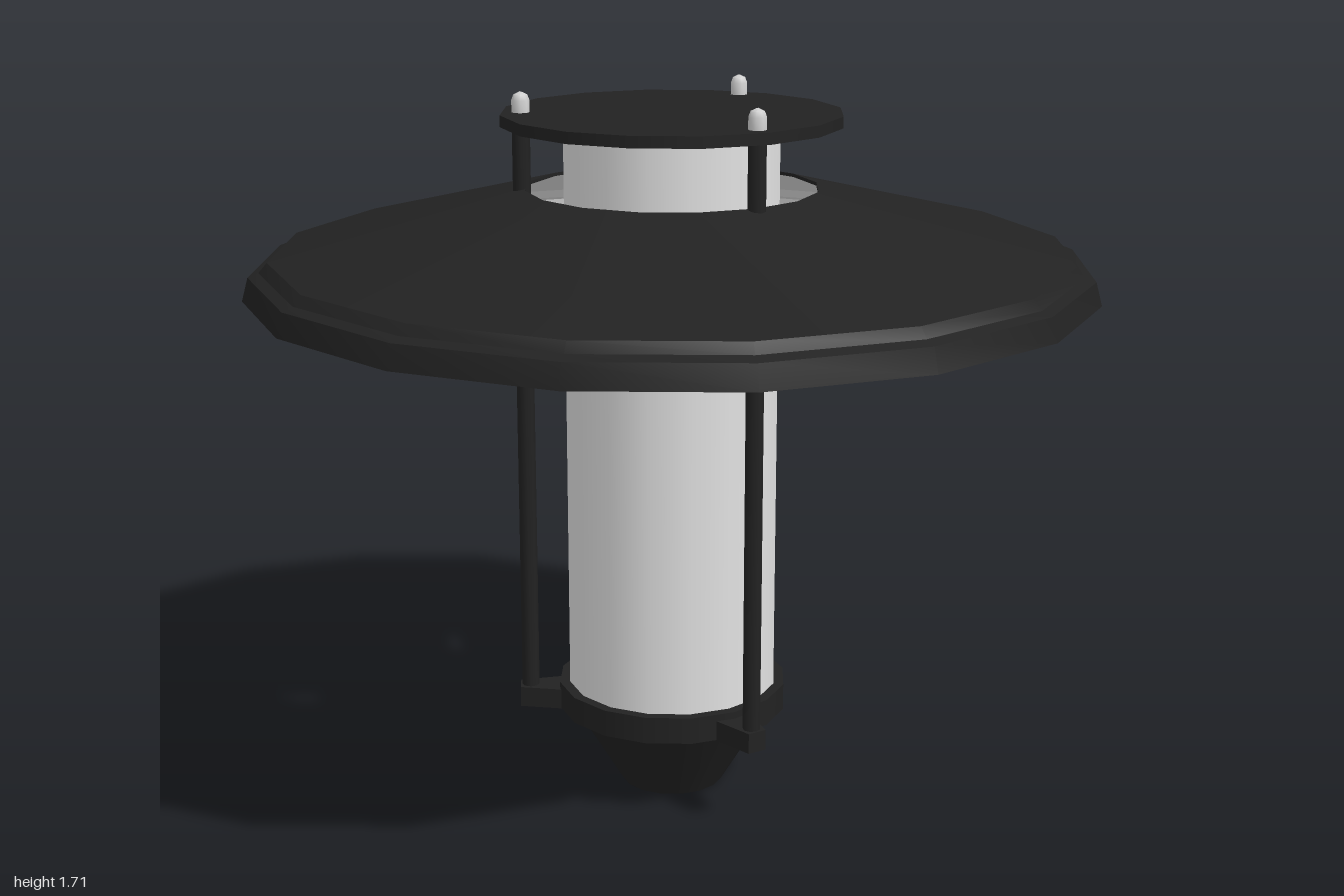
import * as THREE from 'three';
import { toCreasedNormals } from 'three/addons/utils/BufferGeometryUtils.js';

const SIDES = 16;

export function createModel() {
  const black = new THREE.MeshStandardMaterial({ color: 0x222222 });
  black.name = 'black metal';
  const white = new THREE.MeshStandardMaterial({ color: 0xe6e6e6 });
  white.name = 'white enamel';
  const glass = new THREE.MeshStandardMaterial({ color: 0xe2e2e2 });
  glass.name = 'frosted glass';
  const steel = new THREE.MeshStandardMaterial({ color: 0xd0d0d0 });
  steel.name = 'steel';

  const model = new THREE.Group();
  model.name = 'lantern';

  const add = (name, geometry, material, parent = model) => {
    const mesh = new THREE.Mesh(geometry, material);
    mesh.name = name;
    parent.add(mesh);
    return mesh;
  };
  // Upright cylinder or cone between two heights
  const column = (name, rTop, rBottom, y0, y1, material, sides = SIDES, parent = model) => {
    const mesh = add(name, new THREE.CylinderGeometry(rTop, rBottom, y1 - y0, sides), material, parent);
    mesh.position.y = (y0 + y1) / 2;
    return mesh;
  };
  const lathe = (points, sides = SIDES, crease = 0.42) => toCreasedNormals(
    new THREE.LatheGeometry(points.map(([r, y]) => new THREE.Vector2(r, y)), sides), crease);

  // Base, glass and top disc
  column('baseCone', 0.245, 0.125, 0, 0.2, black);
  column('baseCollar', 0.28, 0.28, 0.2, 0.265, black);
  column('glassTube', 0.255, 0.255, 0.265, 1.64, glass);
  column('topDisc', 0.4, 0.4, 1.635, 1.662, black);

  // Shade: black outside, white inside, thin rims joining them
  const outer = [[1, 1.25], [0.985, 1.305], [0.96, 1.315], [0.94, 1.338], [0.345, 1.487]];
  const inner = [[0.345, 1.479], [0.936, 1.331], [0.955, 1.308], [0.977, 1.299], [0.99, 1.25]];
  add('shadeOuter', lathe([inner[4], ...outer, inner[0]]), black);
  add('shadeInner', lathe(inner), white);

  // Tapered bracket seen from above, pointing towards +z once laid flat
  const plan = new THREE.Shape([[-0.05, -0.25], [-0.024, -0.375], [0.024, -0.375], [0.05, -0.25]]
    .map(([x, y]) => new THREE.Vector2(x, y)));
  const bracketGeometry = new THREE.ExtrudeGeometry(plan, { depth: 0.05, bevelEnabled: false });
  bracketGeometry.rotateX(-Math.PI / 2).translate(0, 0.198, 0);

  // Domed nut profile
  const nutGeometry = lathe([[0.021, 1.655], [0.021, 1.69], [0.016, 1.703], [0.001, 1.71]], 8, 0.9);

  // Three supports around the glass
  for (let i = 0; i < 3; i++) {
    const support = new THREE.Group();
    support.name = 'support' + (i + 1);
    support.rotation.y = i * Math.PI * 2 / 3;
    add('bracket', bracketGeometry, black, support);
    column('rod', 0.021, 0.021, 0.2, 1.64, black, 8, support).position.z = 0.35;
    add('nut', nutGeometry, steel, support).position.z = 0.35;
    model.add(support);
  }
  return model;
}
